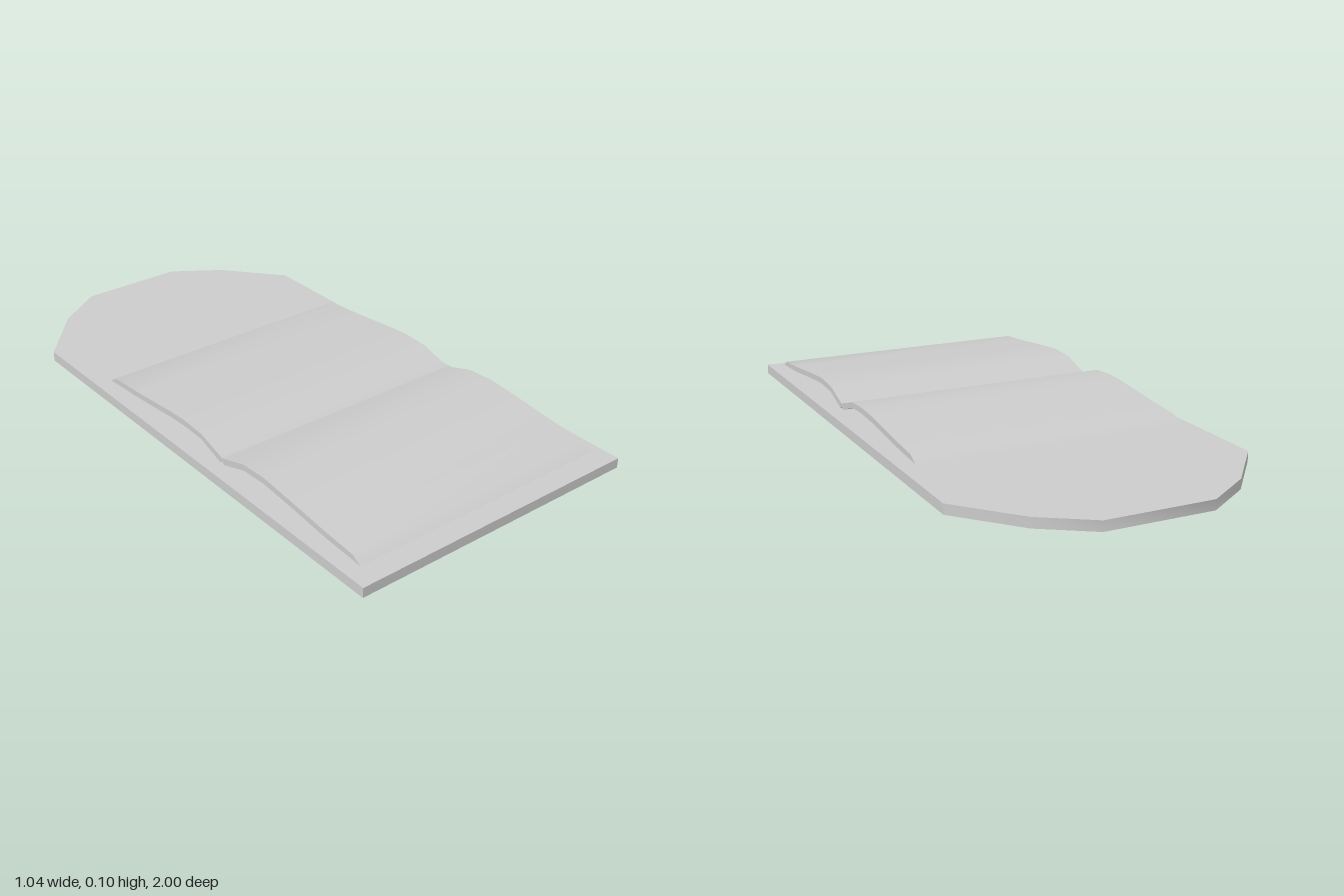
import * as THREE from 'three';
import { toCreasedNormals } from 'three/addons/utils/BufferGeometryUtils.js';

// Extrudes an outline given as [x, y] pairs, smooth below the crease angle
function extrude(points, depth, crease) {
  const shape = new THREE.Shape(points.map(([x, y]) => new THREE.Vector2(x, y)));
  const geometry = new THREE.ExtrudeGeometry(shape, { depth, bevelEnabled: false });
  return toCreasedNormals(geometry, crease);
}

export function createModel() {
  const group = new THREE.Group();
  const material = new THREE.MeshStandardMaterial({ color: 0xcccccc });
  const add = (name, geometry) => {
    const mesh = new THREE.Mesh(geometry, material);
    mesh.name = name;
    group.add(mesh);
  };

  // Flat base board with a rounded back end, outline in x and -z
  const half = [[0.522, -1], [0.522, 0.69], [0.35, 0.89], [0.185, 1]];
  const mirrored = half.map(([x, y]) => [-x, y]).reverse();
  const base = extrude([...half, ...mirrored], 0.034, 0.7);
  base.rotateX(-Math.PI / 2);
  add('baseBoard', base);

  // Wavy sheet with two humps, profile in z and y
  const top = [
    [0.932, 0.044], [0.9, 0.064], [0.78, 0.073], [0.62, 0.09], [0.49, 0.102],
    [0.39, 0.096], [0.28, 0.062], [0.17, 0.095], [0.08, 0.1], [0, 0.096],
    [-0.2, 0.076], [-0.34, 0.065], [-0.375, 0.044],
  ];
  const bottom = [
    [-0.34, 0.047], [-0.2, 0.056], [0, 0.075], [0.08, 0.079], [0.17, 0.076],
    [0.27, 0.042], [0.28, 0.05], [0.29, 0.042], [0.39, 0.075], [0.49, 0.081],
    [0.62, 0.07], [0.78, 0.053], [0.9, 0.046],
  ];
  const sheet = extrude([...top, ...bottom], 0.95, 0.55);
  sheet.translate(0, 0, -0.475);
  sheet.rotateY(-Math.PI / 2);
  add('wavySheet', sheet);

  return group;
}
